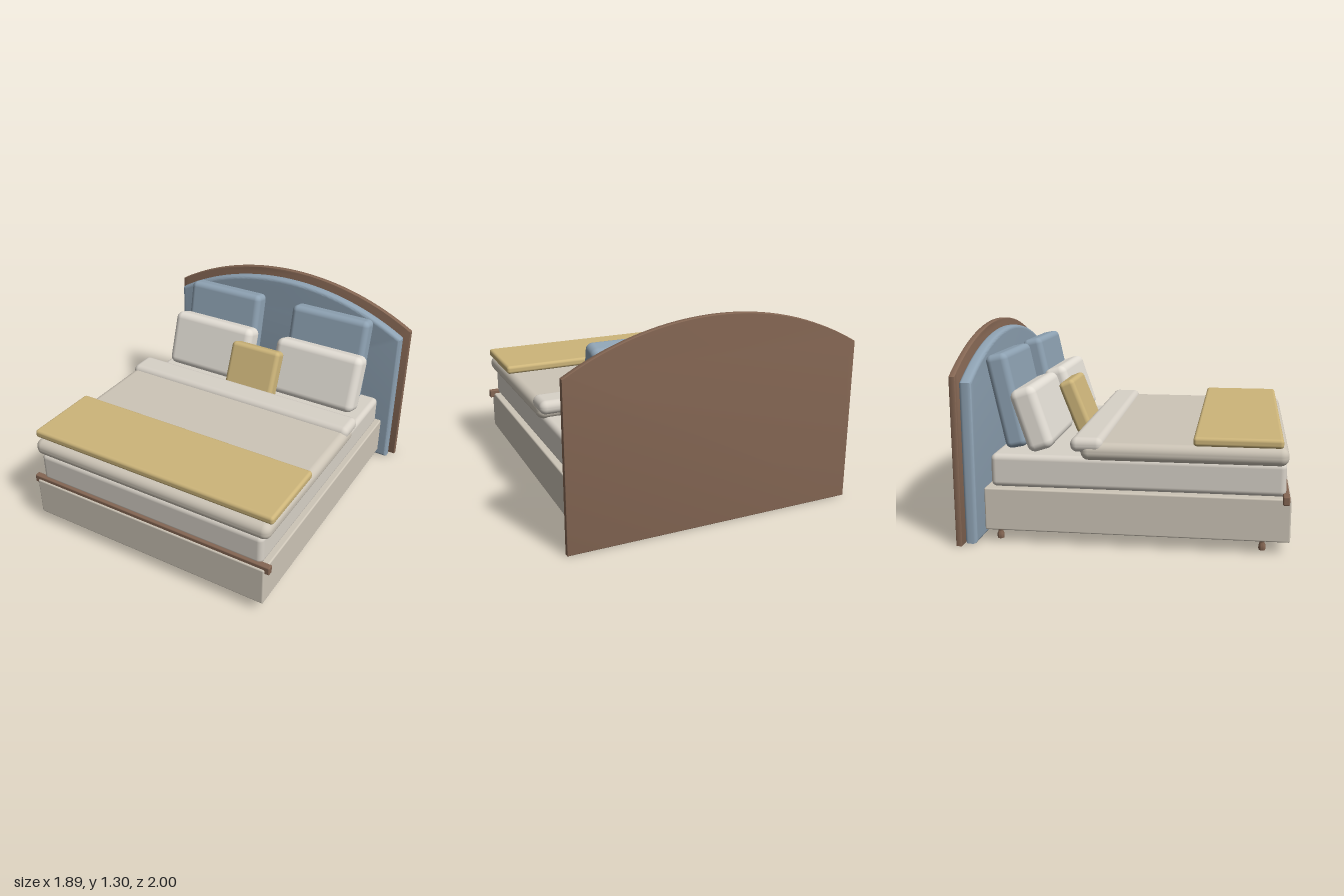
import * as THREE from 'three';
import { RoundedBoxGeometry } from 'three/addons/geometries/RoundedBoxGeometry.js';
import { toCreasedNormals } from 'three/addons/utils/BufferGeometryUtils.js';

const paint = (color) => new THREE.MeshStandardMaterial({ color });

export function createModel() {
  const bed = new THREE.Group();
  bed.name = 'bed';
  const wood = paint(0x846653);
  const blue = paint(0x8ea2b3);
  const linen = paint(0xcdc5b7);
  const cream = paint(0xd8d2c8);
  const white = paint(0xe3ded5);
  const gold = paint(0xcdb57a);

  const add = (name, geometry, material) => {
    const mesh = new THREE.Mesh(geometry, material);
    mesh.name = name;
    bed.add(mesh);
    return mesh;
  };

  // Rounded block given by its half width and its y and z ranges
  const block = (name, halfW, [y0, y1], [z0, z1], r, material) => {
    const mesh = add(name, new RoundedBoxGeometry(halfW * 2, y1 - y0, z1 - z0, 5, r), material);
    mesh.position.set(0, (y0 + y1) / 2, (z0 + z1) / 2);
  };

  // Upright slab with an arched top and softened edges
  const archedSlab = (name, halfW, [y0, side, top], [z0, z1], bevel, material) => {
    const rise = top - side;
    const radius = (halfW * halfW + rise * rise) / (2 * rise);
    const angle = Math.asin(halfW / radius);
    const shape = new THREE.Shape();
    shape.moveTo(-halfW, y0);
    shape.lineTo(halfW, y0);
    shape.lineTo(halfW, side);
    shape.absarc(0, top - radius, radius, Math.PI / 2 - angle, Math.PI / 2 + angle, false);
    shape.closePath();
    const geometry = new THREE.ExtrudeGeometry(shape, {
      depth: z1 - z0 - 2 * bevel, curveSegments: 40,
      bevelEnabled: true, bevelThickness: bevel, bevelSize: bevel,
      bevelOffset: -bevel, bevelSegments: 4,
    });
    geometry.translate(0, 0, z0 + bevel);
    add(name, toCreasedNormals(geometry, 0.6), material);
  };

  // Headboard
  archedSlab('headboardPanel', 0.945, [0, 1.04, 1.3], [-1, -0.963], 0.004, wood);
  archedSlab('headboardPadding', 0.905, [0.004, 1.0, 1.25], [-0.957, -0.882], 0.022, blue);

  // Base, foot rail and bedding
  block('base', 0.85, [0.08, 0.345], [-0.845, 1.0], 0.01, linen);
  block('footRail', 0.88, [0.315, 0.37], [0.95, 0.99], 0.008, wood);
  block('mattress', 0.82, [0.345, 0.55], [-0.81, 0.97], 0.035, cream);
  block('duvet', 0.86, [0.535, 0.645], [-0.25, 0.98], 0.05, linen);
  block('duvetFold', 0.86, [0.585, 0.675], [-0.31, -0.11], 0.042, cream);
  block('throwBlanket', 0.87, [0.648, 0.703], [0.425, 0.945], 0.02, gold);

  // Pillows leaning back towards the headboard
  const pillow = (name, [w, h, t], [x, y, z], tilt, r, material) => {
    const mesh = add(name, new RoundedBoxGeometry(w, h, t, 5, r), material);
    mesh.position.set(x, y, z);
    mesh.rotation.x = -tilt;
  };
  for (const [side, s] of [['left', 1], ['right', -1]]) {
    pillow(side + 'BackPillow', [0.585, 0.589, 0.14], [s * 0.424, 0.855, -0.732], 0.21, 0.04, blue);
    pillow(side + 'FrontPillow', [0.655, 0.4, 0.167], [s * 0.428, 0.752, -0.57], 0.32, 0.05, white);
  }
  pillow('cushion', [0.38, 0.363, 0.11], [0, 0.73, -0.413], 0.38, 0.03, gold);

  // Turned legs
  const profile = [[0, 0], [0.02, 0], [0.022, 0.012], [0.021, 0.03], [0.015, 0.045],
    [0.015, 0.055], [0.025, 0.066], [0.027, 0.085], [0, 0.085]]
    .map(([x, y]) => new THREE.Vector2(x, y));
  const legGeometry = toCreasedNormals(new THREE.LatheGeometry(profile, 20), 0.8);
  for (const x of [-0.76, 0.76]) {
    for (const z of [-0.775, 0.84]) add('leg', legGeometry, wood).position.set(x, 0, z);
  }
  return bed;
}
